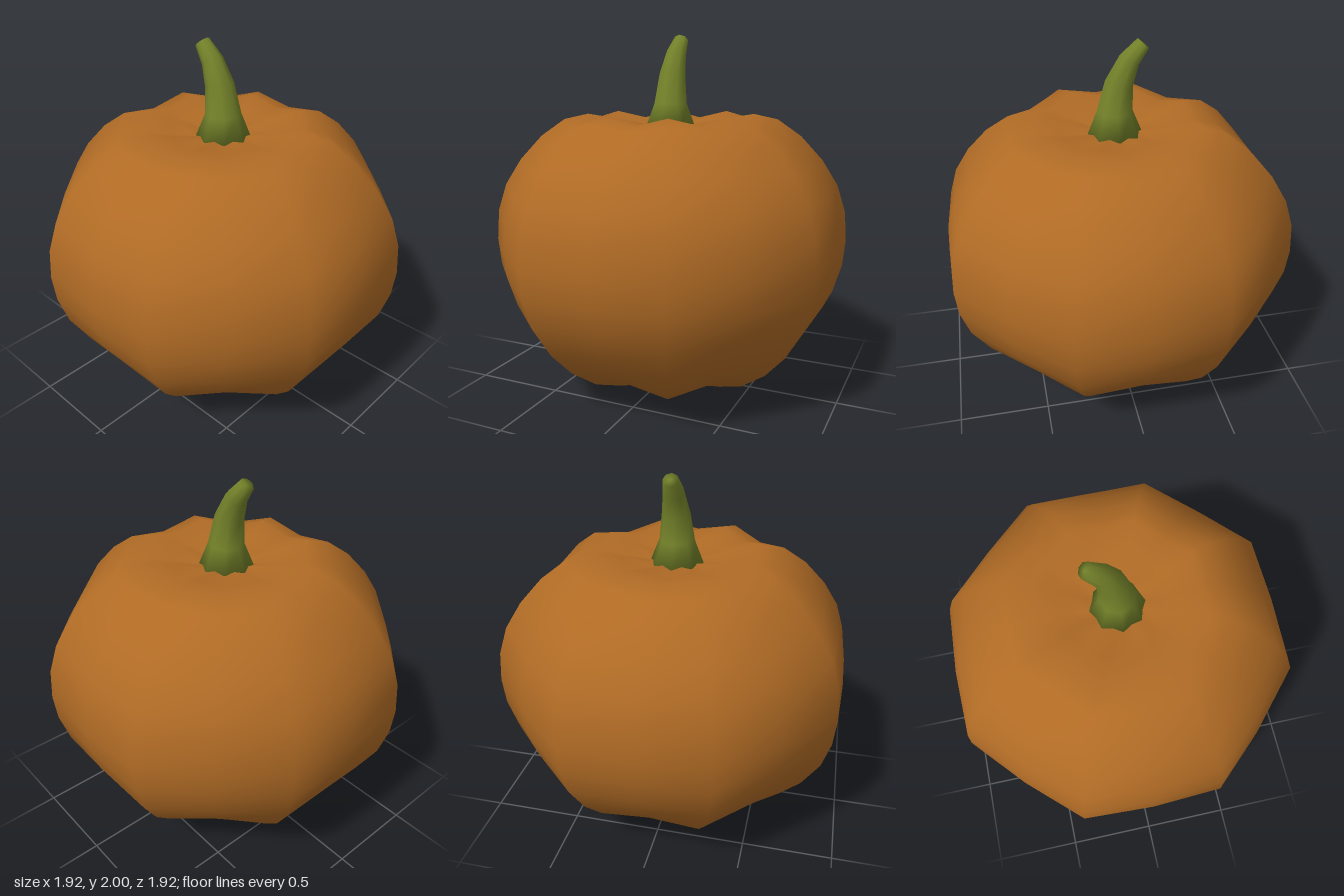
import * as THREE from 'three';

// Closed skin over a list of rings (bottom to top), each an array of Vector3, with end points
function skin(rings, start, end) {
  const n = rings[0].length;
  const pts = [...rings.flat(), start, end];
  const s = rings.length * n, e = s + 1, idx = [];
  for (let j = 0; j < n; j++) {
    const k = (j + 1) % n;
    for (let i = 0; i < rings.length - 1; i++) {
      const a = i * n + j, b = i * n + k, c = a + n, d = b + n;
      idx.push(a, b, d, a, d, c);
    }
    idx.push(s, k, j);
    const top = (rings.length - 1) * n;
    idx.push(e, top + j, top + k);
  }
  const g = new THREE.BufferGeometry().setFromPoints(pts);
  g.setIndex(idx);
  g.computeVertexNormals();
  return g;
}

// Ribbed body: eight ridges with the valleys pulled toward the centre
function bodyGeometry() {
  const centreY = 0.83, valley = 0.942;
  // [radius, height] along a ridge
  const profile = [
    [0.2, 0.02], [0.4, 0.04], [0.565, 0.1], [0.725, 0.215], [0.85, 0.35], [0.955, 0.52],
    [1.005, 0.68], [1.02, 0.83], [1.007, 1.0], [0.957, 1.155], [0.865, 1.3], [0.74, 1.435],
    [0.605, 1.53], [0.47, 1.56], [0.31, 1.535], [0.15, 1.505],
  ];
  const rings = profile.map(([r, y]) => {
    const ring = [];
    for (let j = 0; j < 16; j++) {
      const a = (j * Math.PI) / 8;
      // ribs fade out toward the two poles
      const f = j % 2 ? 1 : 1 - (1 - valley) * Math.min(1, r / 0.35);
      ring.push(new THREE.Vector3(Math.sin(a) * r * f, centreY + (y - centreY) * f, Math.cos(a) * r * f));
    }
    return ring;
  });
  return skin(rings, new THREE.Vector3(0, 0, 0), new THREE.Vector3(0, 1.49, 0));
}

// Stalk: flared foot, tapering and leaning over to one side
function stemGeometry() {
  // [centre x, centre y, radius, tilt]
  const sections = [
    [0, 1.49, 0.148, 0], [0, 1.615, 0.098, 0.03], [-0.025, 1.77, 0.078, 0.25],
    [-0.078, 1.89, 0.059, 0.52], [-0.15, 1.973, 0.042, 0.72],
  ];
  const rings = sections.map(([x, y, r, tilt]) => {
    const ring = [];
    for (let j = 0; j < 8; j++) {
      const a = (j * Math.PI) / 4, across = Math.sin(a) * r;
      ring.push(new THREE.Vector3(x + across * Math.cos(tilt), y + across * Math.sin(tilt), Math.cos(a) * r));
    }
    return ring;
  });
  return skin(rings, new THREE.Vector3(0, 1.49, 0), new THREE.Vector3(-0.151, 1.974, 0));
}

export function createModel() {
  const orange = new THREE.MeshStandardMaterial({ color: 0xb06b25 });
  orange.name = 'orange rind';
  const green = new THREE.MeshStandardMaterial({ color: 0x738129 });
  green.name = 'green stem';

  const group = new THREE.Group();
  group.name = 'pumpkin';
  const body = new THREE.Mesh(bodyGeometry(), orange);
  body.name = 'body';
  const stem = new THREE.Mesh(stemGeometry(), green);
  stem.name = 'stem';
  group.add(body, stem);
  return group;
}
